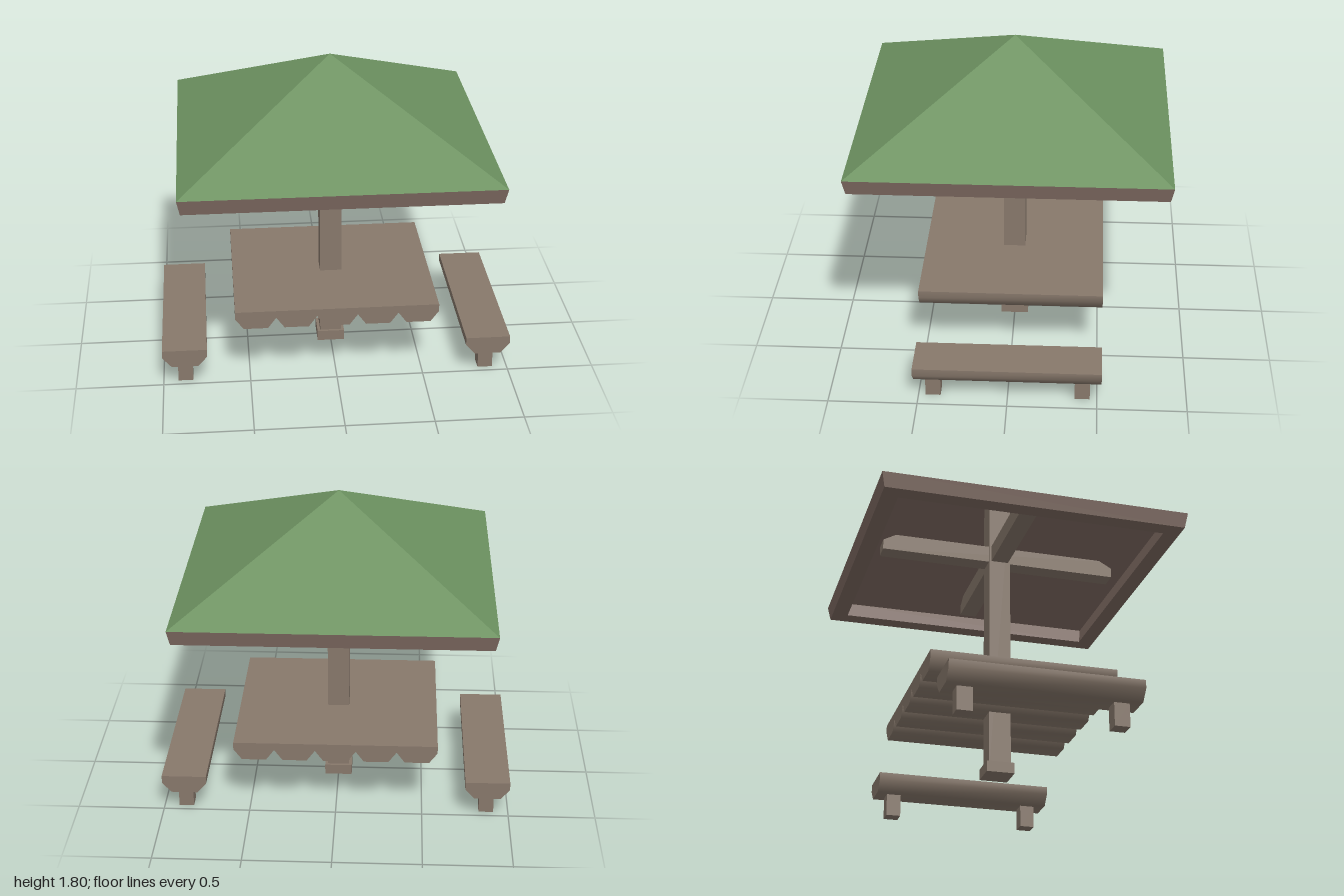
import * as THREE from 'three';
import { toCreasedNormals } from 'three/addons/utils/BufferGeometryUtils.js';

const mat = (name, color) => {
  const m = new THREE.MeshStandardMaterial({ color });
  m.name = name;
  return m;
};

export function createModel() {
  const model = new THREE.Group();
  model.name = 'picnicShelter';
  const wood = mat('wood brown', 0x87786b);
  const trim = mat('trim brown', 0x7f6b62);
  const green = mat('roof green', 0x6c9160);

  const add = (parent, name, geometry, material, x = 0, y = 0, z = 0) => {
    const mesh = new THREE.Mesh(geometry, material);
    mesh.name = name;
    mesh.position.set(x, y, z);
    parent.add(mesh);
    return mesh;
  };

  // Box standing on a given height
  const box = (parent, name, w, h, d, x, y, z) =>
    add(parent, name, new THREE.BoxGeometry(w, h, d), wood, x, y + h / 2, z);

  // Half-log board: flat top, softly chamfered underside, running along z
  const board = (width, height, straight, chamfer, length) => {
    const a = width / 2;
    const shape = new THREE.Shape([
      [-a, height], [-a, height - straight], [-a + chamfer, 0],
      [a - chamfer, 0], [a, height - straight], [a, height],
    ].map(([x, y]) => new THREE.Vector2(x, y)));
    const g = new THREE.ExtrudeGeometry(shape, { depth: length, bevelEnabled: false });
    g.translate(0, 0, -length / 2);
    return toCreasedNormals(g, 1.0);
  };

  // Square ring or pyramid from a half-width/height profile, with flat faces
  const square = (points) => {
    const profile = points.map(([r, y]) => new THREE.Vector2(r * Math.SQRT2, y));
    const g = new THREE.LatheGeometry(profile, 4, Math.PI / 4).toNonIndexed();
    g.computeVertexNormals();
    return g;
  };

  // Central post and foot
  box(model, 'post', 0.126, 1.76, 0.126, 0, 0, 0);
  box(model, 'postFoot', 0.16, 0.062, 0.16, 0, 0, 0);

  // Table top of five half-log boards
  const table = new THREE.Group();
  table.name = 'table';
  model.add(table);
  const plank = board(0.232, 0.107, 0.043, 0.047, 1.046);
  for (let i = -2; i <= 2; i++) add(table, 'tableBoard', plank, wood, i * 0.232, 0.361, 0);

  // Two benches with short legs
  const seat = board(0.255, 0.105, 0.045, 0.052, 1.046);
  for (const side of [-1, 1]) {
    const bench = new THREE.Group();
    bench.name = side > 0 ? 'leftBench' : 'rightBench';
    bench.position.x = side * 0.8725;
    model.add(bench);
    add(bench, 'benchSeat', seat, wood, 0, 0.13, 0);
    for (const z of [-0.418, 0.418]) box(bench, 'benchLeg', 0.085, 0.13, 0.085, 0, 0, z);
  }

  // Hollow pyramid roof on a tapered frame
  const roof = new THREE.Group();
  roof.name = 'roof';
  model.add(roof);
  add(roof, 'roofCover', square([[0.87, 1.34], [0, 1.805]]), green);
  add(roof, 'roofCeiling', square([[0, 1.765], [0.77, 1.34]]), trim);
  add(roof, 'roofFrame', square([[0.77, 1.34], [0.76, 1.255], [0.853, 1.255], [0.87, 1.34]]), trim);

  // Crossed beams under the roof
  box(roof, 'crossBeam', 1.4, 0.1, 0.1, 0, 1.32, 0);
  box(roof, 'longBeam', 0.1, 0.1, 1.4, 0, 1.32, 0);

  return model;
}
